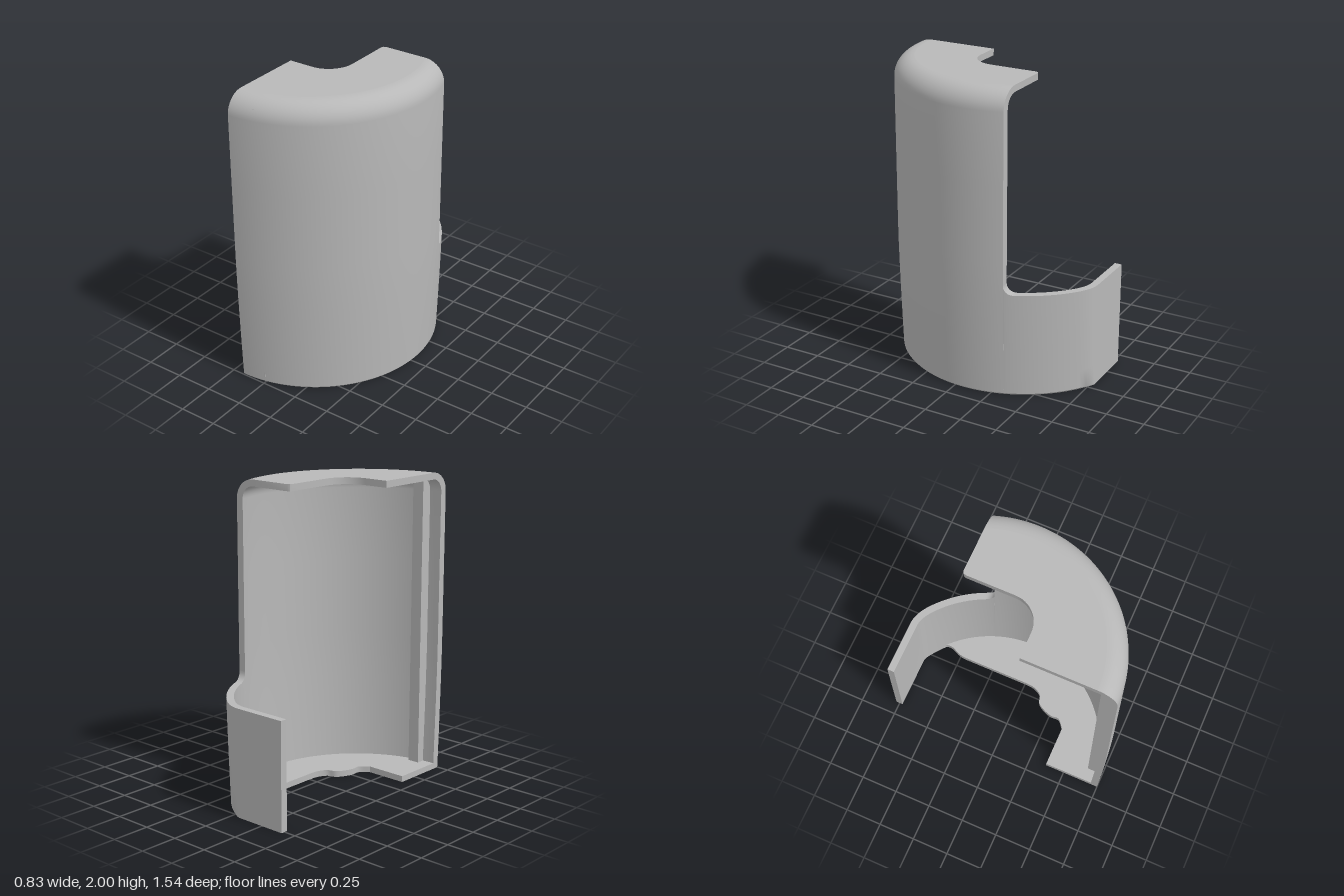
import * as THREE from 'three';
import { toCreasedNormals } from 'three/addons/utils/BufferGeometryUtils.js';

const CX = -0.415, CZ = -0.06, R = 0.83, T = 0.047; // arc centre, radius, wall thickness
const CUT = -0.333, BACK = -0.775, LIP = 0.7, FILLET = 0.06;

// outer radius narrows gently towards the base
function radiusAt(y) {
  const t = Math.max(0, 1 - y / 0.85);
  return R - 0.021 * Math.pow(t, 1.4);
}

// loft columns of {outer, inner} points (bottom to top) into a solid wall
function loft(columns) {
  const n = columns[0].outer.length, m = 2 * n;
  const pos = [], idx = [];
  for (const c of columns) for (const p of [...c.outer, ...c.inner.slice().reverse()]) pos.push(...p);
  for (let j = 0; j < columns.length - 1; j++) {
    for (let k = 0; k < m; k++) {
      const a = j * m + k, c = j * m + (k + 1) % m, b = a + m, d = c + m;
      idx.push(a, b, c, b, d, c);
    }
  }
  const last = (columns.length - 1) * m;
  for (let i = 0; i < n - 1; i++) {
    const o = i, o2 = i + 1, q = m - 1 - i, q2 = q - 1;
    idx.push(q, o, q2, o, o2, q2);
    idx.push(last + q, last + q2, last + o, last + o, last + q2, last + o2);
  }
  const g = new THREE.BufferGeometry();
  g.setAttribute('position', new THREE.Float32BufferAttribute(pos, 3));
  g.setIndex(idx);
  return toCreasedNormals(g, 0.6);
}

// tall wall with a rounded shoulder, ending on the plane z = CUT
function tallWall() {
  const outer = [], inner = [];
  const add = (ro, yo, ri, yi) => { outer.push([ro, yo]); inner.push([ri, yi]); };
  add(radiusAt(0) - 0.008, 0, radiusAt(0) - T, 0);
  for (const y of [0.01, 0.15, 0.3, 0.45, 0.6, 0.75, 0.9, 1.4]) add(radiusAt(y), y, radiusAt(y) - T, y);
  for (let i = 0; i <= 10; i++) {
    const a = (i / 10) * Math.PI / 2, c = Math.cos(a), s = Math.sin(a);
    add(0.7 + 0.13 * c, 1.87 + 0.13 * s, 0.7 + 0.083 * c, 1.87 + 0.087 * s);
  }
  const columns = [];
  for (let j = 0; j <= 48; j++) {
    const place = ([r, y]) => {
      const a = (j / 48) * (Math.PI / 2 + Math.asin((CZ - CUT) / r));
      return [CX + r * Math.sin(a), y, CZ + r * Math.cos(a)];
    };
    columns.push({ outer: outer.map(place), inner: inner.map(place) });
  }
  return loft(columns);
}

// plan line of the low wall: arc, rounded corner, flat back
function backLine(r, zBack) {
  const arcX = z => CX + Math.sqrt(r * r - (z - CZ) ** 2);
  const zEnd = zBack + 0.07, pts = [];
  for (let i = 0; i <= 8; i++) {
    const z = CUT - FILLET * (1 - Math.cos(i / 8 * Math.PI / 2));
    pts.push([arcX(z), z]);
  }
  for (let i = 1; i <= 14; i++) {
    const z = THREE.MathUtils.lerp(CUT - FILLET, zEnd, i / 14);
    pts.push([arcX(z), z]);
  }
  const x0 = arcX(zEnd), ctrl = x0 - 0.07 * (CZ - zEnd) / (x0 - CX);
  const corner = new THREE.QuadraticBezierCurve(
    new THREE.Vector2(x0, zEnd), new THREE.Vector2(ctrl, zBack), new THREE.Vector2(-0.06, zBack));
  for (const p of corner.getPoints(8).slice(1)) pts.push([p.x, p.y]);
  pts.push([CX, zBack]);
  return pts;
}

// low wall wrapping round to the flat back, with a filleted top edge
function lowWall() {
  const columns = backLine(R, BACK).map(() => ({ outer: [], inner: [] }));
  const levels = [0, 0.015, 0.2, 0.4, 0.6, 0.8, 1];
  levels.forEach((f, k) => {
    const y = f * LIP, r = radiusAt(y) - (k === 0 ? 0.008 : 0);
    const o = backLine(r, BACK), q = backLine(radiusAt(y) - T, BACK + T);
    columns.forEach((c, j) => {
      const dz = Math.max(0, o[j][1] - (CUT - FILLET));
      const rise = FILLET - Math.sqrt(Math.max(0, FILLET * FILLET - dz * dz));
      const h = f * (LIP + (j <= 8 ? rise : 0));
      c.outer.push([o[j][0], h, o[j][1]]);
      c.inner.push([q[j][0], h, q[j][1]]);
    });
  });
  return loft(columns);
}

// flat plate drawn in plan (x, z), hanging down from the height top
function plate(points, top, thickness) {
  const shape = new THREE.Shape(points.map(([x, z]) => new THREE.Vector2(x, z)));
  const g = new THREE.ExtrudeGeometry(shape, { depth: thickness, bevelEnabled: false });
  g.rotateX(Math.PI / 2).translate(0, top, 0);
  return toCreasedNormals(g, 0.6);
}

// plan points on the arc from the front down to zEnd
function arcPoints(r, zEnd, n = 48) {
  const end = Math.PI / 2 + Math.asin((CZ - zEnd) / r);
  return Array.from({ length: n + 1 }, (_, i) => {
    const a = end * i / n;
    return [CX + r * Math.sin(a), CZ + r * Math.cos(a)];
  });
}

function smooth(points, n) {
  const c = new THREE.CatmullRomCurve3(points.map(([x, z]) => new THREE.Vector3(x, 0, z)));
  return c.getPoints(n).map(p => [p.x, p.z]);
}

export function createModel() {
  const grey = new THREE.MeshStandardMaterial({ color: 0xb8b8b8 });
  grey.name = 'light grey';
  const group = new THREE.Group();
  group.name = 'halfCover';
  const add = (name, geometry) => {
    const mesh = new THREE.Mesh(geometry, grey);
    mesh.name = name;
    group.add(mesh);
  };

  add('tallWall', tallWall());
  add('lowBackWall', lowWall());

  // roof with a rounded inner notch
  const notch = [];
  for (let i = 0; i <= 12; i++) {
    const a = (i / 12) * Math.PI / 2;
    notch.push([-0.25 + 0.17 * Math.cos(a), 0.17 * Math.sin(a)]);
  }
  add('roof', plate([...arcPoints(0.7, CUT), [-0.06, CUT], [-0.075, -0.325], [-0.08, -0.31], ...notch, [CX, 0.17]], 2, 0.043));

  // floor with a wavy inner edge
  const rearEdge = smooth([[-0.03, -0.735], [0.06, -0.67], [0.1, -0.62], [0.1, -0.575], [0.072, -0.51], [0.065, -0.46]], 24);
  const frontEdge = smooth([[0.065, 0], [0.058, 0.07], [0.025, 0.13], [-0.03, 0.15], [-0.065, 0.2],
    [-0.085, 0.26], [-0.085, 0.32], [-0.14, 0.37]], 28);
  add('floor', plate([...arcPoints(0.77, -0.67), ...rearEdge, ...frontEdge, [CX, 0.37]], 0.04, 0.04));

  // upright rib inside the front wall
  const rib = new THREE.BoxGeometry(0.08, 1.9, 0.09);
  rib.translate(-0.29, 0.99, 0.69);
  add('innerRib', rib);
  return group;
}
